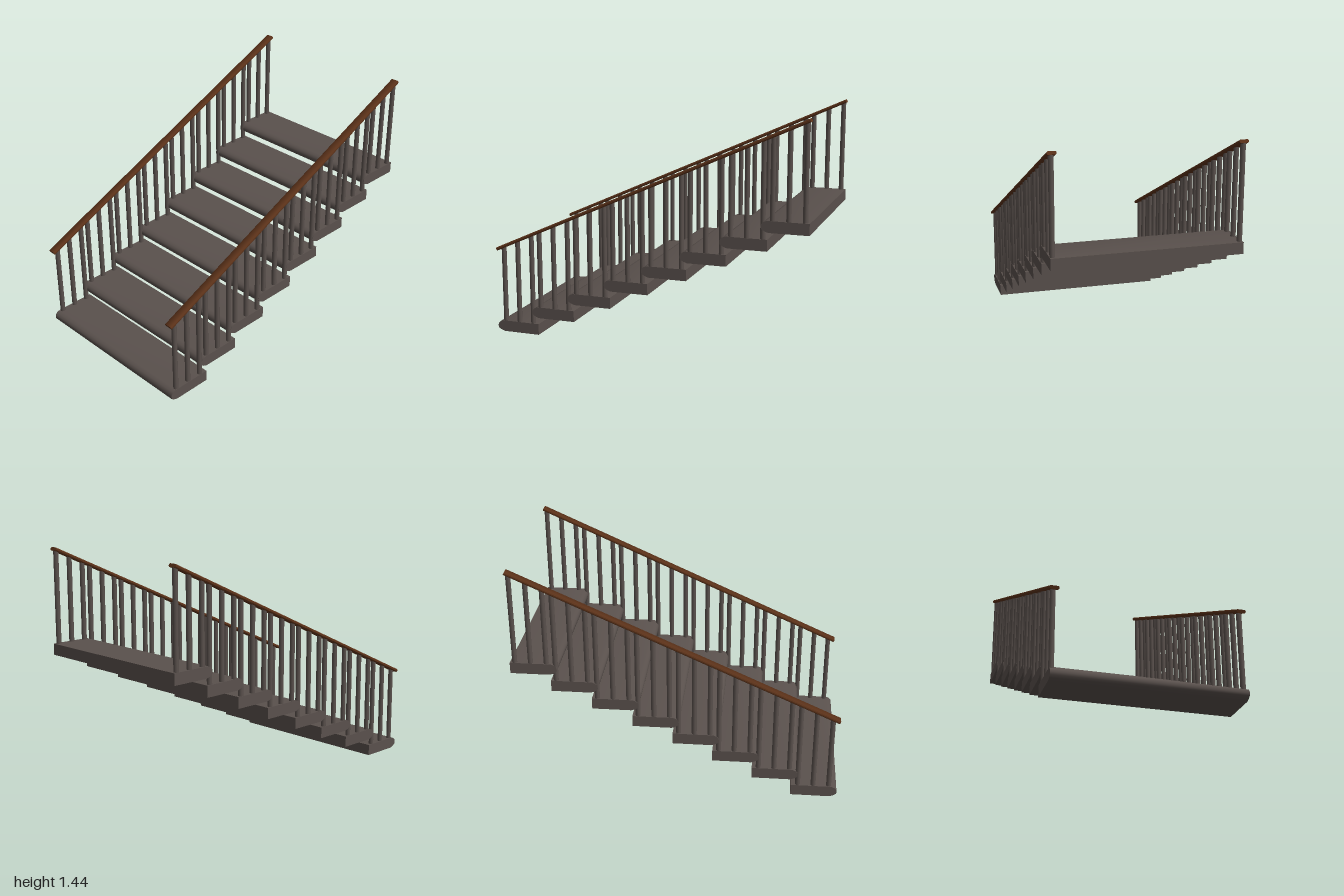
import * as THREE from 'three';
import { toCreasedNormals } from 'three/addons/utils/BufferGeometryUtils.js';

const STEPS = 8, HALF_WIDTH = 0.56, DEPTH = 0.285, THICK = 0.07;
const RUN = (2 - DEPTH) / (STEPS - 1), RISE = 0.775 / (STEPS - 1);

export function createModel() {
  const group = new THREE.Group();
  const stone = new THREE.MeshStandardMaterial({ color: 0x5a514d });
  stone.name = 'dark grey brown';
  const wood = new THREE.MeshStandardMaterial({ color: 0x5c3219 });
  wood.name = 'rail brown';

  const add = (parent, name, geometry, material, x, y, z) => {
    const mesh = new THREE.Mesh(geometry, material);
    mesh.name = name;
    mesh.position.set(x, y, z);
    parent.add(mesh);
    return mesh;
  };

  // Extrudes a (z, y) outline along x, centred on x = 0
  const extrudeAcross = (points, width) => {
    const shape = new THREE.Shape(points.map(([z, y]) => new THREE.Vector2(-z, y)));
    const g = new THREE.ExtrudeGeometry(shape, { depth: width, bevelEnabled: false });
    g.translate(0, 0, -width / 2);
    g.rotateY(Math.PI / 2);
    g.rotateY(Math.PI);
    g.rotateY(Math.PI);
    return toCreasedNormals(g, 0.9);
  };

  // Treads with a rounded nose, front edge at local z = 0
  const treadGeometry = extrudeAcross([
    [-DEPTH, 0], [-0.045, 0], [-0.022, 0.008], [-0.003, 0.02], [0, 0.035],
    [-0.003, 0.05], [-0.015, 0.062], [-0.035, THICK], [-DEPTH, THICK],
  ], HALF_WIDTH * 2);
  for (let i = 0; i < STEPS; i++) {
    add(group, 'tread', treadGeometry, stone, 0, i * RISE, 1 - i * RUN);
  }

  // Handrail centre line
  const front = new THREE.Vector2(0.99, 0.537), back = new THREE.Vector2(-0.99, 1.429);
  const slope = (back.y - front.y) / (front.x - back.x);
  const railY = (z) => front.y + (front.x - z) * slope;

  // Rail section with softened corners, run along z
  const w = 0.0275, h = 0.01, c = 0.006;
  const section = new THREE.Shape([
    [-w, -h + c], [-w + c, -h], [w - c, -h], [w, -h + c],
    [w, h - c], [w - c, h], [-w + c, h], [-w, h - c],
  ].map(([x, y]) => new THREE.Vector2(x, y)));
  const length = front.distanceTo(back);
  const railGeometry = new THREE.ExtrudeGeometry(section, { depth: length, bevelEnabled: false });
  railGeometry.translate(0, 0, -length / 2);
  const rail = toCreasedNormals(railGeometry, 0.9);

  for (const side of [1, -1]) {
    const railing = new THREE.Group();
    railing.name = side > 0 ? 'leftRailing' : 'rightRailing';
    group.add(railing);
    const bar = add(railing, 'handrail', rail, wood, side * 0.543, railY(0), 0);
    bar.rotation.x = Math.atan(slope);

    // Three balusters on each tread
    for (let i = 0; i < STEPS; i++) {
      for (let j = 0; j < 3; j++) {
        const z = 0.949 - i * 0.247 - j * 0.096;
        const bottom = i * RISE + THICK - 0.005, top = railY(z);
        const baluster = new THREE.CylinderGeometry(0.0155, 0.0155, top - bottom, 10, 1, true);
        add(railing, 'baluster', baluster, stone, side * 0.544, (top + bottom) / 2, z);
      }
    }
  }
  return group;
}
